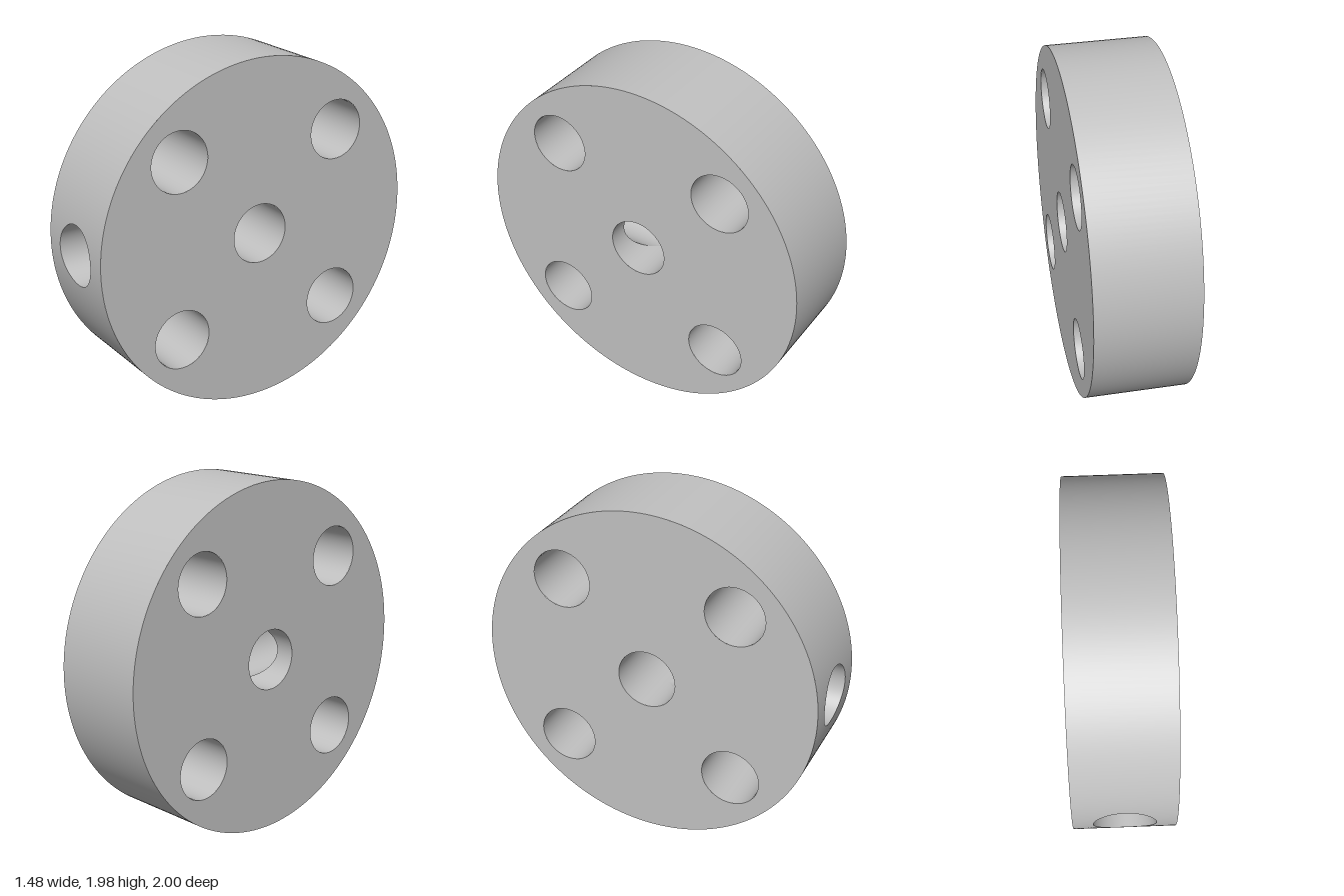
import * as THREE from 'three';

const R = 0.991;   // disc radius
const H = 0.2835;  // half thickness
const r = 0.171;   // radius of every hole
const P = 0.509;   // offset of the four outer holes

// Smooth sheet from point(u, v), with normals given by normal(point); faces are turned to match
function sheet(nu, nv, point, normal) {
  const pos = [], nor = [], index = [], pts = [], nrm = [];
  for (let j = 0; j <= nv; j++) for (let i = 0; i <= nu; i++) {
    const p = point(i / nu, j / nv), n = normal(p).normalize();
    pts.push(p); nrm.push(n);
    pos.push(p.x, p.y, p.z); nor.push(n.x, n.y, n.z);
  }
  const tri = (a, b, c) => {
    const f = pts[b].clone().sub(pts[a]).cross(pts[c].clone().sub(pts[a]));
    if (f.lengthSq() < 1e-16) return;
    if (f.dot(nrm[a].clone().add(nrm[b]).add(nrm[c])) > 0) index.push(a, b, c);
    else index.push(a, c, b);
  };
  for (let j = 0; j < nv; j++) for (let i = 0; i < nu; i++) {
    const a = j * (nu + 1) + i, b = a + 1, c = a + nu + 1, d = c + 1;
    tri(a, b, d); tri(a, d, c);
  }
  const g = new THREE.BufferGeometry();
  g.setAttribute('position', new THREE.Float32BufferAttribute(pos, 3));
  g.setAttribute('normal', new THREE.Float32BufferAttribute(nor, 3));
  g.setIndex(index);
  return g;
}

const V = (x, y, z) => new THREE.Vector3(x, y, z);
const mix = THREE.MathUtils.lerp;

export function createModel() {
  const grey = new THREE.MeshStandardMaterial({ color: 0xc0c0c0 });
  grey.name = 'plain grey';
  const model = new THREE.Group();
  model.name = 'drilledDisc';
  const disc = new THREE.Group();
  disc.name = 'disc';
  model.add(disc);
  const add = (name, geometry) => {
    const mesh = new THREE.Mesh(geometry, grey);
    mesh.name = name;
    disc.add(mesh);
    return mesh;
  };

  // Flat faces with five holes
  const outer = [[P, P], [-P, P], [-P, -P], [P, -P]];
  const shape = new THREE.Shape().absarc(0, 0, R, 0, Math.PI * 2, false);
  for (const [x, y] of [[0, 0], ...outer])
    shape.holes.push(new THREE.Path().absarc(x, y, r, 0, Math.PI * 2, true));
  const face = new THREE.ShapeGeometry(shape, 96);
  add('frontFace', face).position.z = H;
  const back = add('backFace', face);
  back.position.z = -H;
  back.rotation.y = Math.PI;

  // Rim: plain arc, then a square patch around the side hole
  const outward = p => V(p.x, p.y, 0), inward = p => V(-p.x, -p.y, 0);
  const gap = Math.asin(H / R);
  add('rim', sheet(160, 1, (u, v) => {
    const a = mix(-Math.PI + gap, Math.PI - gap, u);
    return V(R * Math.cos(a), R * Math.sin(a), mix(-H, H, v));
  }, outward));
  add('rimAroundSideHole', sheet(96, 8, (u, v) => {
    const a = u * Math.PI * 2, c = Math.cos(a), s = Math.sin(a);
    const d = mix(r, H / Math.max(Math.abs(c), Math.abs(s)), v);
    return V(-Math.sqrt(R * R - d * d * s * s), d * s, d * c);
  }, outward));

  // Outer through holes
  const wall = sheet(64, 1, (u, v) => {
    const a = u * Math.PI * 2;
    return V(r * Math.cos(a), r * Math.sin(a), mix(-H, H, v));
  }, inward);
  for (const [x, y] of outer) add('throughHole', wall).position.set(x, y, 0);

  // Centre bore: a full half, and a half opened by the side hole
  add('boreClosedHalf', sheet(48, 1, (u, v) => {
    const a = (u - 0.5) * Math.PI;
    return V(r * Math.cos(a), r * Math.sin(a), mix(-H, H, v));
  }, inward));
  for (const side of [1, -1])
    add('boreOpenHalf', sheet(48, 4, (u, v) => {
      const a = (u - 0.5) * Math.PI, c = r * Math.cos(a);
      return V(-c, r * Math.sin(a), side * mix(c, H, v));
    }, inward));

  // Side hole running from the rim into the bore
  add('sideHole', sheet(96, 4, (u, v) => {
    const a = u * Math.PI * 2, y = r * Math.sin(a), z = r * Math.cos(a);
    return V(-mix(Math.abs(z), Math.sqrt(R * R - y * y), v), y, z);
  }, p => V(0, -p.y, -p.z)));

  disc.rotation.y = Math.PI / 3;
  disc.position.y = R;
  return model;
}
